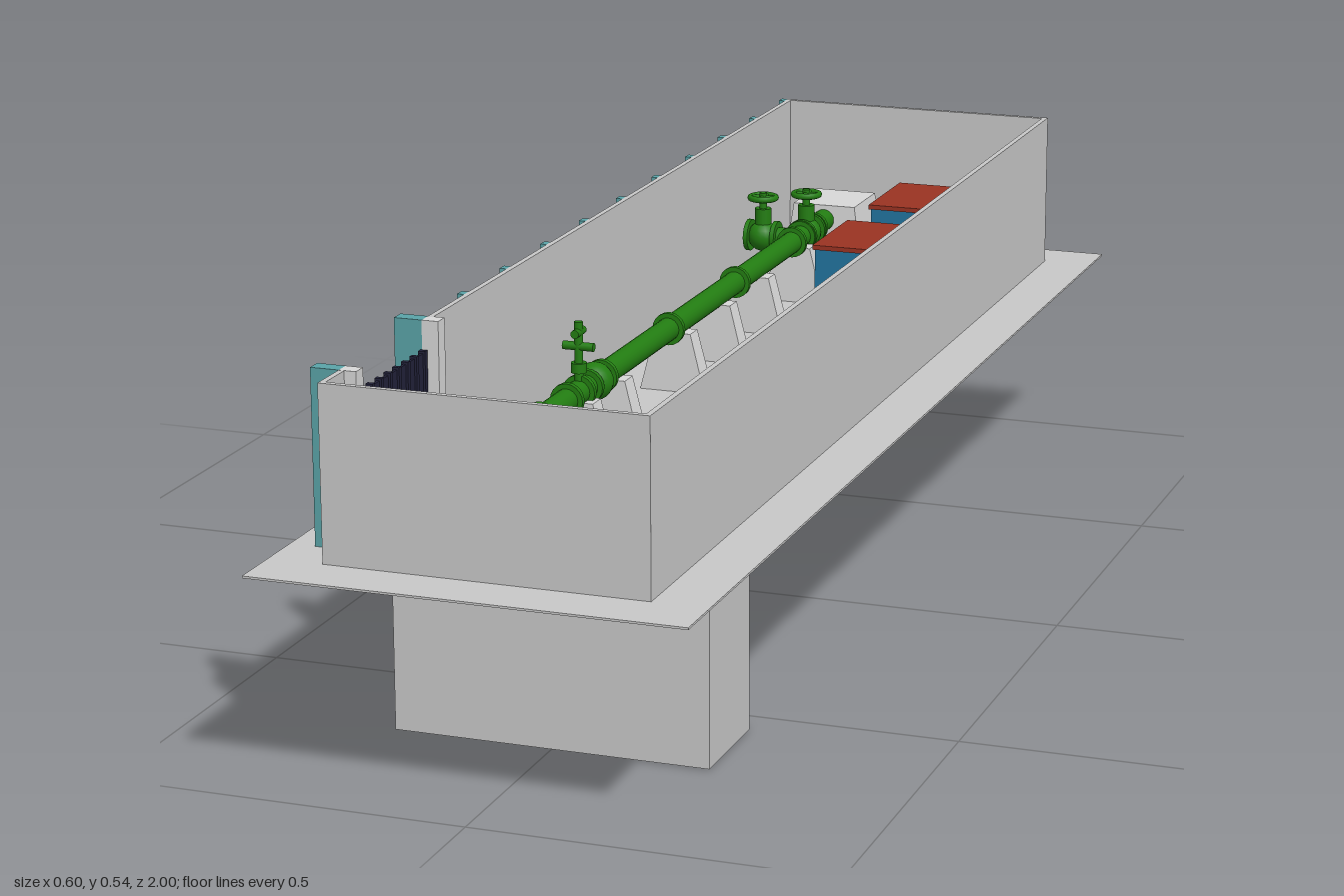
import * as THREE from 'three';

export function createModel() {
  const root = new THREE.Group();
  const mat = (name, color) => {
    const m = new THREE.MeshStandardMaterial({ color, side: THREE.DoubleSide });
    m.name = name;
    return m;
  };
  const grey = mat('concrete grey', 0xc8c8c8);
  const pale = mat('pale concrete', 0xd8d8d8);
  const teal = mat('teal post', 0x5aa3a7);
  const navy = mat('dark gate', 0x22223a);
  const green = mat('pipe green', 0x237d12);
  const blue = mat('wall blue', 0x2275a0);
  const red = mat('roof red', 0x9a3322);

  const G = 0.3; // ground level
  const PX = -0.083, PY = G + 0.098, R = 0.017; // pipe axis and radius

  const add = (name, geo, m, x = 0, y = 0, z = 0, parent = root) => {
    const mesh = new THREE.Mesh(geo, m);
    mesh.name = name;
    mesh.position.set(x, y, z);
    parent.add(mesh);
    return mesh;
  };
  // Box given by its limits
  const box = (name, m, x0, x1, y0, y1, z0, z1, parent = root) =>
    add(name, new THREE.BoxGeometry(x1 - x0, y1 - y0, z1 - z0), m,
      (x0 + x1) / 2, (y0 + y1) / 2, (z0 + z1) / 2, parent);
  // Box whose top is scaled towards its centre
  const tapered = (name, m, w, h, d, sx, sz, x, y, z) => {
    const geo = new THREE.BoxGeometry(w, h, d);
    const p = geo.attributes.position;
    for (let i = 0; i < p.count; i++) {
      if (p.getY(i) > 0) p.setXYZ(i, p.getX(i) * sx, p.getY(i), p.getZ(i) * sz);
    }
    geo.computeVertexNormals();
    return add(name, geo, m, x, y + h / 2, z);
  };
  // Cylinder along a chosen axis
  const cyl = (name, r, len, axis, x, y, z, parent = root) => {
    const c = add(name, new THREE.CylinderGeometry(r, r, len, 20), green, x, y, z, parent);
    if (axis === 'z') c.rotation.x = Math.PI / 2;
    if (axis === 'x') c.rotation.z = Math.PI / 2;
    return c;
  };

  // Ground slab and pit below it
  box('ground', grey, -0.3, 0.3, G - 0.003, G, -1, 1);
  box('pit', grey, -0.224, 0.223, 0.001, G - 0.001, 0.552, 0.71);

  // Perimeter walls with a gap for the gate
  const T = 0.008, top = G + 0.24;
  box('leftWall', grey, 0.223 - T, 0.223, G, top, -0.923, 0.923);
  box('backWall', grey, -0.224, 0.223, G, top, -0.923, -0.923 + T);
  box('frontWall', grey, -0.224, 0.223, G, top, 0.923 - T, 0.923);
  box('rightWallLong', grey, -0.224, -0.224 + T, G, top, -0.923, 0.578);
  box('rightWallShort', grey, -0.224, -0.224 + T, G, top, 0.86, 0.923);

  // Fence posts on the outside of the right wall
  for (let i = 0; i < 10; i++) {
    const z = -0.915 + i * 0.151;
    box('wallPost', teal, -0.234, -0.224, G, top, z - 0.008, z + 0.008);
  }

  // Gate pillars and ribbed gate
  for (const z of [0.585, 0.848]) {
    box('gatePillar', teal, -0.264, -0.224, G, top, z - 0.011, z + 0.011);
    box('gatePillarInner', pale, -0.224, -0.2, G, top, z - 0.011, z + 0.011);
  }
  box('gate', navy, -0.222, -0.218, G + 0.005, G + 0.197, 0.596, 0.837);
  for (let i = 0; i < 9; i++) {
    const z = 0.603 + i * 0.0283;
    box('gateRib', navy, -0.225, -0.215, G + 0.005, G + 0.2, z - 0.004, z + 0.004);
  }

  // U-shaped building, recess open to the right
  const plan = (g) => {
    const s = new THREE.Shape();
    [[0.053 + g, 0.66 - g], [0.217 - g, 0.66 - g], [0.217 - g, 0.22 + g], [0.053 + g, 0.22 + g],
      [0.053 + g, 0.39 - g], [0.138 + g, 0.39 - g], [0.138 + g, 0.497 + g], [0.053 + g, 0.497 + g]]
      .forEach(([x, y], i) => (i ? s.lineTo(x, y) : s.moveTo(x, y)));
    return s;
  };
  const slab = (name, m, inset, y, h) => {
    const geo = new THREE.ExtrudeGeometry(plan(inset), { depth: h, bevelEnabled: false });
    add(name, geo.rotateX(-Math.PI / 2), m, 0, y, 0);
  };
  slab('buildingWalls', blue, 0.003, G, 0.169);
  slab('buildingRoof', red, 0, G + 0.169, 0.007);
  box('porch', blue, 0.07, 0.139, G, G + 0.09, -0.485, -0.402);
  box('porchSide', blue, 0.07, 0.122, G, G + 0.085, -0.497, -0.39);
  for (let i = 0; i < 3; i++) {
    box('porchStep', navy, 0.055, 0.07, G, G + 0.025, -0.462 + i * 0.016, -0.45 + i * 0.016);
  }

  // Pipe supports, with footings through the ground
  for (const z of [0.39, 0.267, 0, -0.173, -0.35, -0.55]) {
    tapered('pipeSupport', pale, 0.1, 0.088, 0.034, 0.55, 0.9, PX, G, z);
    box('supportFooting', pale, PX - 0.05, PX + 0.05, G - 0.018, G, z - 0.017, z + 0.017);
  }

  // Anchor block at the back, pedestals and plate at the front
  tapered('anchorBlock', pale, 0.138, 0.122, 0.122, 0.74, 0.9, PX, G, -0.745);
  for (const s of [-1, 1]) {
    tapered('frontPedestal', pale, 0.036, 0.06, 0.112, 0.6, 0.9, PX + s * 0.073, G, 0.627);
  }
  box('frontPlate', green, PX - 0.053, PX + 0.053, G, G + 0.03, 0.585, 0.667);

  // Main pipe with a bend down at each end
  const route = new THREE.CurvePath();
  const v = (y, z) => new THREE.Vector3(PX, y, z);
  const B = 0.045;
  const bend = (a, b, c) => route.add(new THREE.QuadraticBezierCurve3(a, b, c));
  route.add(new THREE.LineCurve3(v(0, 0.625), v(PY - B, 0.625)));
  bend(v(PY - B, 0.625), v(PY, 0.625), v(PY, 0.625 - B));
  route.add(new THREE.LineCurve3(v(PY, 0.625 - B), v(PY, -0.8 + B)));
  bend(v(PY, -0.8 + B), v(PY, -0.8), v(PY - B, -0.8));
  route.add(new THREE.LineCurve3(v(PY - B, -0.8), v(G, -0.8)));
  add('mainPipe', new THREE.TubeGeometry(route, 160, R, 20), green);
  add('pipeTip', new THREE.ConeGeometry(0.022, 0.024, 20).rotateX(Math.PI), green, PX, G - 0.012, -0.8);

  // Flanged joints
  for (const z of [0.56, 0.53, 0.43, 0.385, 0.355, 0.3, 0.03, -0.26, -0.53, -0.575, -0.635]) {
    cyl('flange', 0.024, 0.008, 'z', PX, PY, z);
  }
  add('checkValveBody', new THREE.SphereGeometry(0.027, 20, 14), green, PX, PY, 0.328);

  // Small tap with a crossed handle
  cyl('tapStem', 0.006, 0.1, 'y', PX, PY + 0.05, 0.386);
  cyl('tapArm', 0.006, 0.045, 'x', PX, PY + 0.065, 0.386);
  cyl('tapArm', 0.006, 0.03, 'z', PX, PY + 0.085, 0.386);
  cyl('tapCollar', 0.011, 0.014, 'y', PX, PY + 0.035, 0.386);

  // Gate valves with handwheels
  const valve = (x, z, axis) => {
    const g = new THREE.Group();
    g.name = 'valve';
    g.position.set(x, PY, z);
    root.add(g);
    add('valveBody', new THREE.SphereGeometry(0.024, 18, 12), green, 0, 0, 0, g);
    for (const s of [-1, 1]) {
      cyl('valveFlange', 0.025, 0.007, axis, axis === 'x' ? s * 0.022 : 0, 0, axis === 'z' ? s * 0.022 : 0, g);
    }
    cyl('bonnet', 0.013, 0.034, 'y', 0, 0.028, 0, g);
    cyl('valveStem', 0.006, 0.04, 'y', 0, 0.05, 0, g);
    const wheel = add('handwheel', new THREE.TorusGeometry(0.02, 0.005, 8, 24), green, 0, 0.062, 0, g);
    wheel.rotation.x = Math.PI / 2;
    cyl('wheelSpoke', 0.004, 0.04, 'x', 0, 0.062, 0, g);
    cyl('wheelSpoke', 0.004, 0.04, 'z', 0, 0.062, 0, g);
  };
  valve(PX, -0.6, 'z');
  valve(-0.14, -0.555, 'x');
  cyl('branchPipe', R * 0.9, 0.08, 'x', -0.122, PY, -0.555);

  return root;
}
